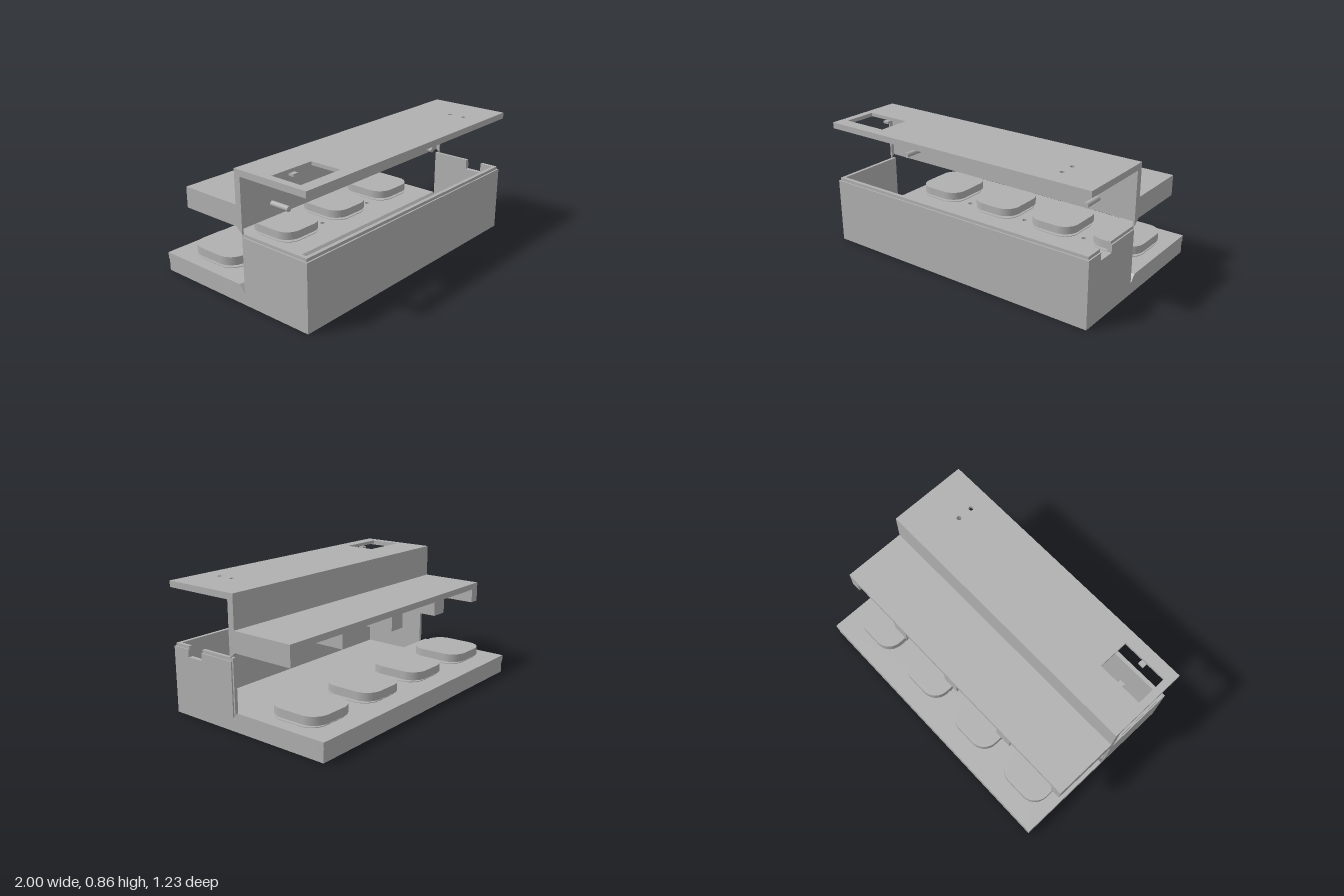
import * as THREE from 'three';

const grey = new THREE.MeshStandardMaterial({ color: 0xb0b0b0 });
grey.name = 'plain grey';

const padX = [-0.74, -0.247, 0.247, 0.74];
const screwX = [-0.49, 0, 0.49];

function add(group, name, geometry) {
  const mesh = new THREE.Mesh(geometry, grey);
  mesh.name = name;
  group.add(mesh);
  return mesh;
}

function box(group, name, x0, x1, y0, y1, z0, z1) {
  const g = new THREE.BoxGeometry(x1 - x0, y1 - y0, z1 - z0);
  g.translate((x0 + x1) / 2, (y0 + y1) / 2, (z0 + z1) / 2);
  return add(group, name, g);
}

// Side profile of [z, y] points, extruded across x
function prism(group, name, points, x0, x1) {
  const shape = new THREE.Shape(points.map(([z, y]) => new THREE.Vector2(-z, y)));
  const g = new THREE.ExtrudeGeometry(shape, { depth: x1 - x0, bevelEnabled: false });
  return add(group, name, g.rotateY(Math.PI / 2).translate(x0, 0, 0));
}

// Plan shape drawn in (x, -z), extruded upward
function slab(group, name, shape, y0, y1) {
  const g = new THREE.ExtrudeGeometry(shape, { depth: y1 - y0, bevelEnabled: false, curveSegments: 10 });
  return add(group, name, g.rotateX(-Math.PI / 2).translate(0, y0, 0));
}

function rectangle(x0, x1, z0, z1) {
  return new THREE.Shape([[x0, -z1], [x1, -z1], [x1, -z0], [x0, -z0]].map((p) => new THREE.Vector2(...p)));
}

function drill(shape, x, z, r) {
  shape.holes.push(new THREE.Path().absarc(x, -z, r, 0, Math.PI * 2, true));
}

function roundedPad(cx, z0, z1, w, r) {
  const s = new THREE.Shape(), a = cx - w / 2, b = cx + w / 2, lo = -z1, hi = -z0;
  s.moveTo(a + r, lo).lineTo(b - r, lo);
  s.absarc(b - r, lo + r, r, -Math.PI / 2, 0, false);
  s.absarc(b - r, hi - r, r, 0, Math.PI / 2, false);
  s.absarc(a + r, hi - r, r, Math.PI / 2, Math.PI, false);
  s.absarc(a + r, lo + r, r, Math.PI, Math.PI * 1.5, false);
  return s;
}

function makeBase() {
  const base = new THREE.Group();
  base.name = 'base';
  box(base, 'floor', -0.99, 0.99, 0.002, 0.03, -0.6, 0.6);
  box(base, 'frontWall', -0.997, 0.997, 0, 0.44, 0.59, 0.61);
  box(base, 'frontLip', -0.985, 0.985, 0.03, 0.46, 0.575, 0.6);
  box(base, 'backWall', -0.997, 0.997, 0, 0.08, -0.61, -0.58);

  // L-shaped side walls with an inner lip; only the left wall has a cable notch
  for (const side of [-1, 1]) {
    const notch = side > 0 ? (y) => [[0.48, y], [0.48, 0.39], [0.36, 0.39], [0.36, y]] : () => [];
    const outer = [[0.61, 0], [0.61, 0.44], ...notch(0.44), [0.1, 0.44], [0.1, 0.08], [-0.61, 0.08], [-0.61, 0]];
    const inner = [[0.6, 0.03], [0.6, 0.46], ...notch(0.46), [0.09, 0.46], [0.09, 0.03]];
    const span = (a, b) => (side > 0 ? [a, b] : [-b, -a]);
    prism(base, 'sideWall', outer, ...span(0.98, 0.997));
    prism(base, 'sideLip', inner, ...span(0.965, 0.988));
  }
  return base;
}

function makeShelf() {
  const shelf = new THREE.Group();
  shelf.name = 'shelf';
  const plan = rectangle(-1, 1, -0.615, 0.06);
  screwX.forEach((x) => drill(plan, x, -0.18, 0.017));
  slab(shelf, 'shelfPlate', plan, 0.082, 0.126);
  prism(shelf, 'shelfBevel', [[0.1, 0.082], [0.06, 0.082], [0.06, 0.126]], -1, 1);

  // Floating pads above shallow seats
  for (const x of padX) {
    slab(shelf, 'padSeat', roundedPad(x, -0.47, -0.1, 0.35, 0.11), 0.125, 0.13);
    slab(shelf, 'pad', roundedPad(x, -0.49, -0.1, 0.355, 0.11), 0.145, 0.2);
  }
  return shelf;
}

function makeCover() {
  const cover = new THREE.Group();
  cover.name = 'cover';

  // Top plate with a display window and two indicator holes
  const plan = rectangle(-1, 1, 0.06, 0.615);
  plan.holes.push(rectangle(-0.95, -0.63, 0.31, 0.53));
  for (const z of [0.365, 0.47]) drill(plan, 0.72, z, 0.016);
  slab(cover, 'topPlate', plan, 0.833, 0.856);
  box(cover, 'frontRim', -1, 1, 0.815, 0.835, 0.603, 0.615);

  // Upright wall with cheeks that wrap the base lip
  prism(cover, 'uprightWall', [[0.06, 0.5], [0.06, 0.84], [0.08, 0.84], [0.08, 0.48]], -1, 1);
  for (const x of [-1, 0.988]) {
    box(cover, 'sideRim', x, x + 0.012, 0.815, 0.835, 0.06, 0.61);
    prism(cover, 'wallCheek', [[0.06, 0.5], [0.06, 0.835], [0.105, 0.835], [0.105, 0.46]], x, x + 0.012);
  }

  // Small clips under the plate
  for (const z of [0.32, 0.52]) {
    box(cover, 'clip', 0.92, 0.965, 0.817, 0.835, z - 0.02, z + 0.02);
    box(cover, 'windowTab', -0.81, -0.77, 0.817, 0.833, z - 0.02, z + 0.02);
  }

  // Hinge pins
  for (const x of [-0.73, 0.73]) {
    const pin = new THREE.CylinderGeometry(0.018, 0.018, 0.145, 20);
    add(cover, 'pin', pin.rotateX(Math.PI / 2).translate(x, 0.566, 0.1475));
  }

  // Rear hood: solid roof above ribs, with round-ended bays open to the back
  box(cover, 'hoodRoof', -1, 1, 0.595, 0.636, -0.38, 0.07);
  const ribs = new THREE.Shape();
  const w = 0.188, r = 0.115, end = 0.085, back = 0.38;
  ribs.moveTo(-1, -0.06).lineTo(1, -0.06).lineTo(1, back);
  for (const x of [...padX].reverse()) {
    ribs.lineTo(x + w, back).lineTo(x + w, end + r);
    ribs.absarc(x + w - r, end + r, r, 0, -Math.PI / 2, true);
    ribs.absarc(x - w + r, end + r, r, -Math.PI / 2, -Math.PI, true);
    ribs.lineTo(x - w, back);
  }
  ribs.lineTo(-1, back);
  screwX.forEach((x) => drill(ribs, x, -0.18, 0.015));
  slab(cover, 'hoodRibs', ribs, 0.5, 0.595);
  return cover;
}

export function createModel() {
  const model = new THREE.Group();
  model.name = 'chargingStation';
  model.add(makeBase(), makeShelf(), makeCover());
  return model;
}
